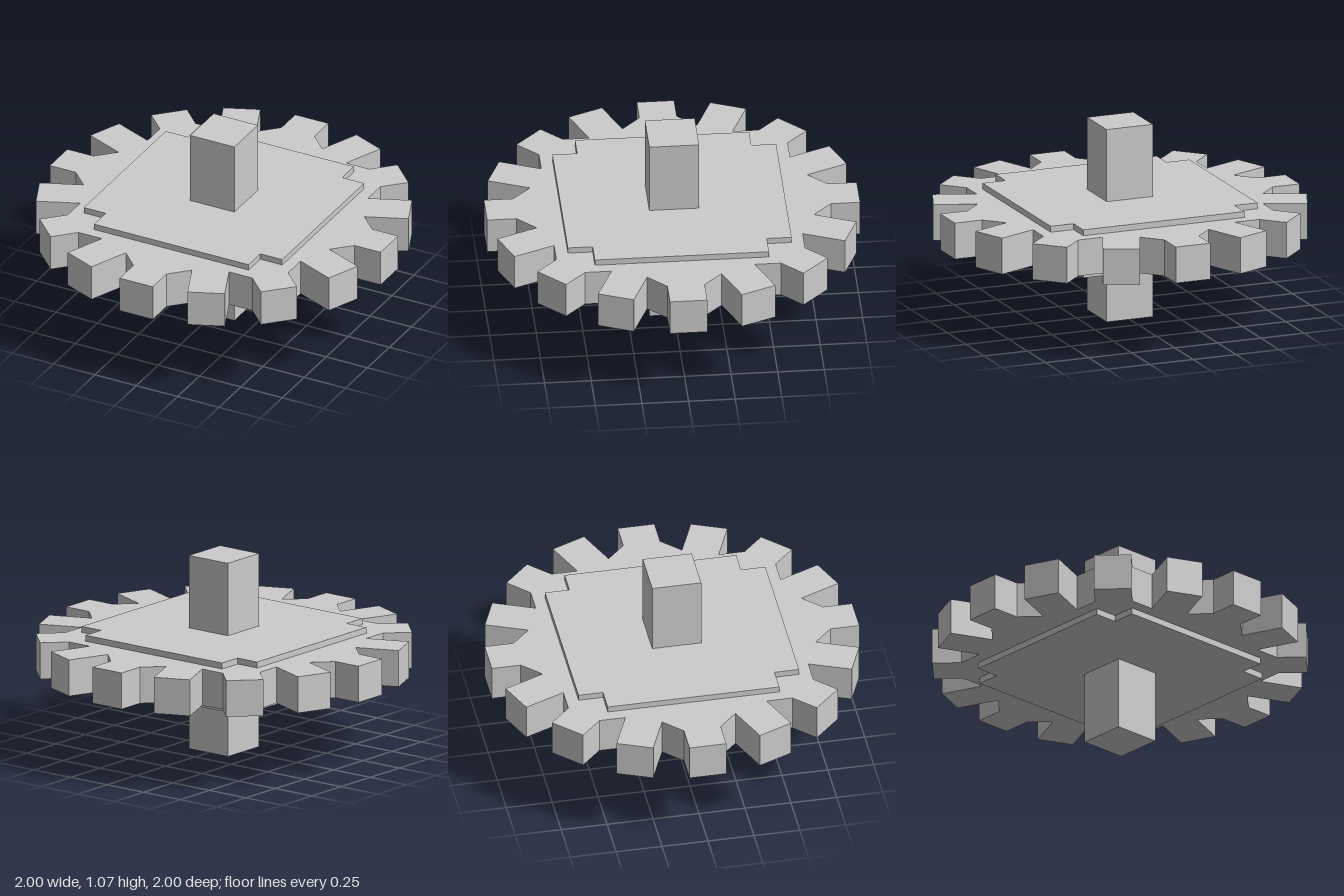
import * as THREE from 'three';

const material = new THREE.MeshStandardMaterial({ color: 0xcccccc, flatShading: true });

// Extrudes a flat outline upwards from y = bottom to y = top
function plate(name, points, bottom, top) {
  const geometry = new THREE.ExtrudeGeometry(new THREE.Shape(points), {
    depth: top - bottom,
    bevelEnabled: false,
  });
  geometry.rotateX(-Math.PI / 2).translate(0, bottom, 0);
  const mesh = new THREE.Mesh(geometry, material);
  mesh.name = name;
  return mesh;
}

// Repeats a few points around the origin; pointsFor(i) gives the points of step i
function around(count, pointsFor) {
  const centre = new THREE.Vector2();
  const outline = [];
  for (let i = 0; i < count; i++) {
    for (const [x, y] of pointsFor(i)) {
      outline.push(new THREE.Vector2(x, y).rotateAround(centre, (i / count) * Math.PI * 2));
    }
  }
  return outline;
}

export function createModel() {
  const group = new THREE.Group();
  group.name = 'cogwheel';

  // Sixteen straight teeth whose roots alternate between shallow and deep
  const half = 0.1;
  const teeth = around(16, (i) => {
    const root = i % 2 ? 0.763 : 0.843;
    return [[root, -half], [1, -half], [1, half], [root, half]];
  });
  group.add(plate('toothedWheel', teeth, 0.434, 0.634));

  // Square hub plate with a notch at each corner, proud of both wheel faces
  const hub = around(4, () => [[0.6, -0.467], [0.6, 0.467], [0.467, 0.467]]);
  group.add(plate('hubPlate', hub, 0.4, 0.667));

  // Square axle through the middle
  const axle = new THREE.Mesh(new THREE.BoxGeometry(0.267, 1.067, 0.267), material);
  axle.name = 'axle';
  axle.position.y = 1.067 / 2;
  group.add(axle);

  return group;
}
